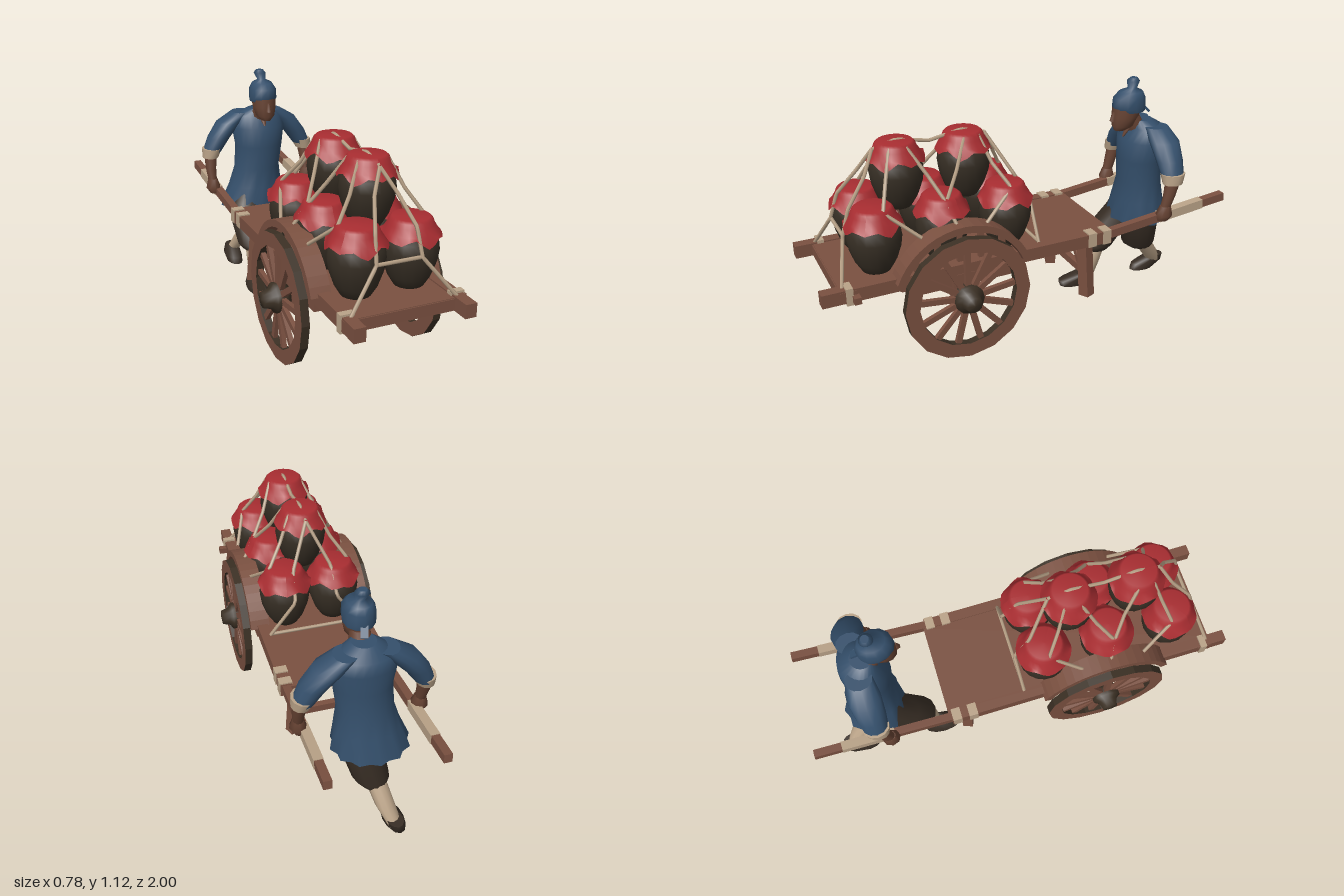
import * as THREE from 'three';

const mat = (name, color, side = THREE.FrontSide) => {
  const m = new THREE.MeshStandardMaterial({ color, side });
  m.name = name;
  return m;
};

export function createModel() {
  const wood = mat('wood', 0x7a5040), dark = mat('dark wood', 0x3b3024);
  const clay = mat('dark clay', 0x362e24), red = mat('red cloth', 0xa82d31, THREE.DoubleSide);
  const blue = mat('blue cloth', 0x344f6b, THREE.DoubleSide), cream = mat('cream rope', 0xbaa388);
  const skin = mat('skin', 0x674333), trouser = mat('dark trousers', 0x382e25);
  const V = (p) => new THREE.Vector3(...p);
  const model = new THREE.Group();
  const add = (name, geo, m, parent = model) => {
    const mesh = new THREE.Mesh(geo, m);
    mesh.name = name;
    parent.add(mesh);
    return mesh;
  };
  const group = (name) => {
    const g = new THREE.Group();
    g.name = name;
    model.add(g);
    return g;
  };
  const box = (name, w, h, d, x, y, z, m, parent) => {
    const b = add(name, new THREE.BoxGeometry(w, h, d), m, parent);
    b.position.set(x, y, z);
    return b;
  };
  // Square bar running from p to q
  const bar = (name, p, q, w, h, m, parent) => {
    const b = add(name, new THREE.BoxGeometry(w, h, V(p).distanceTo(V(q))), m, parent);
    b.position.copy(V(p).add(V(q)).multiplyScalar(0.5));
    b.lookAt(V(q));
    return b;
  };
  // Stack of level ellipses, bottom to top: [x, y, z, radiusX, radiusZ]
  const loft = (name, rings, m, parent, n = 12, pleat = 0) => {
    const pos = [], idx = [];
    rings.forEach(([x, y, z, rx, rz], i) => {
      for (let j = 0; j < n; j++) {
        const a = (j / n) * Math.PI * 2, k = i === 0 && j % 2 ? 1 - pleat : 1;
        pos.push(x + Math.cos(a) * rx * k, y, z + Math.sin(a) * rz * k);
      }
    });
    const last = rings.length - 1;
    for (let i = 0; i < last; i++) for (let j = 0; j < n; j++) {
      const a = i * n + j, b = i * n + (j + 1) % n;
      idx.push(a, a + n, b, b, a + n, b + n);
    }
    // End caps have their own vertices so the rims stay sharp
    [0, last].forEach((r) => {
      const base = pos.length / 3;
      pos.push(...rings[r].slice(0, 3));
      for (let j = 0; j < n; j++) pos.push(...pos.slice((r * n + j) * 3, (r * n + j) * 3 + 3));
      for (let j = 0; j < n; j++) {
        const a = base + 1 + j, b = base + 1 + (j + 1) % n;
        idx.push(base, ...(r ? [b, a] : [a, b]));
      }
    });
    const g = new THREE.BufferGeometry();
    g.setAttribute('position', new THREE.Float32BufferAttribute(pos, 3));
    g.setIndex(idx);
    g.computeVertexNormals();
    return add(name, g, m, parent);
  };

  // Cart bed, rails and handles
  const cart = group('cart');
  box('bed', 0.44, 0.025, 1.29, 0, 0.472, 0.275, wood, cart);
  box('bedUnderside', 0.43, 0.006, 0.8, 0, 0.457, 0.04, dark, cart);
  box('frontCrossbar', 0.53, 0.05, 0.07, 0, 0.457, 0.89, wood, cart);
  box('rearCrossbar', 0.44, 0.04, 0.05, 0, 0.445, -0.33, wood, cart);
  box('peg', 0.05, 0.03, 0.03, 0.275, 0.45, 0.86, wood, cart);
  box('axle', 0.56, 0.058, 0.06, 0, 0.365, 0.385, dark, cart);
  box('axleBeam', 0.5, 0.016, 0.08, 0, 0.335, 0.385, wood, cart);
  bar('legStretcher', [-0.17, 0.248, -0.28], [0.17, 0.248, -0.28], 0.03, 0.035, wood, cart);
  for (const s of [-1, 1]) {
    box('rail', 0.05, 0.06, 1.36, s * 0.238, 0.46, 0.32, wood, cart);
    bar('handle', [s * 0.238, 0.463, -0.33], [s * 0.243, 0.537, -1], 0.036, 0.04, wood, cart);
    bar('handleWrap', [s * 0.2405, 0.496, -0.63], [s * 0.242, 0.523, -0.875], 0.041, 0.045, cream, cart);
    for (const z of [-0.258, -0.335]) box('railWrap', 0.058, 0.068, 0.042, s * 0.238, 0.462, z, cream, cart);
    box('frontLashing', 0.062, 0.078, 0.03, s * 0.24, 0.46, 0.885, cream, cart);
    box('axleBlock', 0.05, 0.12, 0.1, s * 0.24, 0.385, 0.385, wood, cart);
    box('sill', 0.045, 0.05, 0.5, s * 0.235, 0.41, 0.385, wood, cart);
    bar('supportLeg', [s * 0.165, 0.455, -0.27], [s * 0.19, 0.13, -0.28], 0.05, 0.055, wood, cart);
    bar('legBrace', [0, 0.43, -0.28], [s * 0.13, 0.26, -0.28], 0.025, 0.025, wood, cart);
  }

  // Arched guards over the wheels, on short posts
  const arch = new THREE.Shape();
  arch.absarc(0, 0, 0.327, 0.37, Math.PI - 0.37, false);
  arch.absarc(0, 0, 0.295, Math.PI - 0.37, 0.37, true);
  const archGeo = new THREE.ExtrudeGeometry(arch, { depth: 0.09, bevelEnabled: false, curveSegments: 9 });
  for (const s of [-1, 1]) {
    const guard = add('wheelGuard', archGeo, wood, cart);
    guard.rotation.y = Math.PI / 2;
    guard.position.set(s * 0.25 - 0.045, 0.355, 0.385);
    for (let i = -2; i <= 2; i++) {
      const dz = i * 0.1, top = 0.355 + Math.sqrt(0.305 ** 2 - dz * dz);
      box('guardPost', 0.02, top - 0.47, 0.025, s * 0.225, (top + 0.47) / 2, 0.385 + dz, wood, cart);
    }
  }

  // Spoked wheels
  const rim = new THREE.Shape().absarc(0, 0, 0.29, 0, Math.PI * 2, false);
  rim.holes.push(new THREE.Path().absarc(0, 0, 0.225, 0, Math.PI * 2, true));
  const rimGeo = new THREE.ExtrudeGeometry(rim, { depth: 0.036, bevelEnabled: false, curveSegments: 8 });
  rimGeo.translate(0, 0, -0.018);
  const hub = [[0, -0.04], [0.05, -0.04], [0.067, -0.015], [0.067, 0.025], [0.045, 0.04], [0.035, 0.075], [0, 0.08]];
  const hubGeo = new THREE.LatheGeometry(hub.map((p) => new THREE.Vector2(...p)), 12);
  for (const s of [-1, 1]) {
    const wheel = group('wheel');
    add('rim', rimGeo, [wood, dark], wheel);
    add('hub', hubGeo, dark, wheel).rotation.x = Math.PI / 2;
    for (let i = 0; i < 13; i++) {
      const a = (i / 13) * Math.PI * 2 + Math.PI / 2;
      const spoke = box('spoke', 0.19, 0.026, 0.02, Math.cos(a) * 0.145, Math.sin(a) * 0.145, 0, wood, wheel);
      spoke.rotation.z = a;
    }
    wheel.rotation.y = s * Math.PI / 2;
    wheel.position.set(s * 0.31, 0.35, 0.385);
  }

  // Jars with cloth covers
  const lathe = (pts, n) => new THREE.LatheGeometry(pts.map((p) => new THREE.Vector2(...p)), n);
  const jarGeo = lathe([[0, 0], [0.06, 0], [0.09, 0.05], [0.111, 0.11], [0.118, 0.16], [0.112, 0.205], [0.08, 0.26], [0, 0.27]], 18);
  const coverGeo = lathe([[0.126, 0.212], [0.111, 0.24], [0.094, 0.267], [0.087, 0.286], [0.076, 0.296], [0, 0.298]], 28);
  const cp = coverGeo.attributes.position;
  for (let i = 0; i < cp.count; i++) {
    // Ragged hem
    if (cp.getY(i) < 0.22) {
      const a = Math.atan2(cp.getZ(i), cp.getX(i));
      cp.setY(i, 0.215 + 0.013 * Math.sin(a * 7) + 0.01 * Math.cos(a * 4));
    }
  }
  coverGeo.computeVertexNormals();
  const load = group('jars');
  const jar = (x, y, z, turn) => {
    for (const [name, geo, m] of [['jar', jarGeo, clay], ['jarCover', coverGeo, red]]) {
      const j = add(name, geo, m, load);
      j.position.set(x, y, z);
      j.rotation.y = turn;
    }
  };
  [0.725, 0.42, 0.12].forEach((z, i) => [-1, 1].forEach((s) => jar(s * 0.119, 0.48, z, i + s)));
  [0.575, 0.265].forEach((z, i) => jar(0, 0.705, z, i * 2));

  // Ropes over the load
  const ropes = group('ropes');
  const rope = (...pts) => {
    const path = new THREE.CurvePath();
    for (let i = 1; i < pts.length; i++) path.add(new THREE.LineCurve3(V(pts[i - 1]), V(pts[i])));
    add('rope', new THREE.TubeGeometry(path, pts.length * 6, 0.0085, 5), cream, ropes);
  };
  rope([-0.1, 0.65, 0.85], [0.1, 0.65, 0.85]);
  rope([-0.22, 0.495, 0.0], [0.22, 0.495, 0.0]);
  rope([0, 0.975, 0.675], [0, 1.003, 0.57], [0, 0.975, 0.42], [0, 1.003, 0.27], [0, 0.975, 0.165]);
  for (const s of [-1, 1]) {
    rope([0, 0.975, 0.675], [s * 0.05, 0.88, 0.73], [s * 0.09, 0.765, 0.82], [s * 0.1, 0.65, 0.855], [s * 0.235, 0.48, 0.91]);
    rope([0, 0.975, 0.165], [s * 0.09, 0.785, 0.06], [s * 0.1, 0.66, -0.012], [s * 0.22, 0.49, 0]);
    rope([s * 0.065, 0.99, 0.62], [s * 0.12, 0.87, 0.66], [s * 0.19, 0.765, 0.7], [s * 0.25, 0.65, 0.56]);
    rope([s * 0.075, 0.99, 0.55], [s * 0.13, 0.87, 0.48], [s * 0.19, 0.77, 0.43], [s * 0.25, 0.67, 0.4]);
    rope([s * 0.075, 0.99, 0.29], [s * 0.13, 0.87, 0.35], [s * 0.19, 0.77, 0.42]);
    rope([s * 0.065, 0.99, 0.22], [s * 0.12, 0.87, 0.18], [s * 0.19, 0.77, 0.12], [s * 0.25, 0.65, 0.27]);
  }

  // Man pushing the cart: head and body
  const man = group('man');
  loft('head', [[0, 0.872, -0.545, 0.022, 0.03], [0, 0.895, -0.56, 0.046, 0.056], [0, 0.94, -0.57, 0.058, 0.068], [0, 1.0, -0.58, 0.06, 0.074]], skin, man);
  loft('neck', [[0, 0.86, -0.64, 0.05, 0.05], [0, 0.94, -0.6, 0.042, 0.045]], skin, man);
  loft('nose', [[0, 0.922, -0.502, 0.013, 0.016], [0, 0.965, -0.508, 0.007, 0.008]], skin, man, 6);
  loft('openCollar', [[0, 0.835, -0.566, 0.004, 0.006], [0, 0.905, -0.605, 0.032, 0.014]], skin, man, 8);
  loft('cap', [[0, 0.965, -0.595, 0.065, 0.074], [0, 0.985, -0.588, 0.068, 0.084], [0, 1.03, -0.588, 0.066, 0.08], [0, 1.058, -0.595, 0.05, 0.06], [0, 1.072, -0.602, 0.021, 0.022], [-0.006, 1.105, -0.61, 0.031, 0.031], [-0.006, 1.12, -0.612, 0.018, 0.018]], blue, man);
  bar('capTie', [0, 0.985, -0.66], [0.01, 0.95, -0.695], 0.03, 0.012, blue, man);
  loft('tunic', [[-0.035, 0.39, -0.69, 0.175, 0.148], [-0.02, 0.5, -0.68, 0.142, 0.122], [-0.01, 0.6, -0.675, 0.12, 0.105], [0, 0.72, -0.665, 0.125, 0.108], [0, 0.82, -0.67, 0.14, 0.108], [0, 0.88, -0.685, 0.12, 0.085], [0, 0.915, -0.66, 0.052, 0.052]], blue, man, 24, 0.1);

  // Arms
  for (const s of [-1, 1]) {
    loft('sleeve', [[s * 0.252, 0.695, -0.69, 0.046, 0.055], [s * 0.21, 0.77, -0.692, 0.058, 0.066], [s * 0.15, 0.845, -0.697, 0.066, 0.074], [s * 0.085, 0.895, -0.695, 0.05, 0.06]], blue, man);
    loft('cuff', [[s * 0.262, 0.668, -0.685, 0.04, 0.05], [s * 0.25, 0.715, -0.69, 0.052, 0.061]], cream, man);
    loft('forearm', [[s * 0.264, 0.55, -0.652, 0.022, 0.025], [s * 0.266, 0.61, -0.668, 0.027, 0.03], [s * 0.262, 0.68, -0.685, 0.032, 0.037]], skin, man);
    loft('hand', [[s * 0.258, 0.485, -0.645, 0.024, 0.03], [s * 0.263, 0.515, -0.648, 0.038, 0.042], [s * 0.264, 0.56, -0.652, 0.024, 0.028]], skin, man, 8);
  }

  // Striding legs, one forward and one trailing
  loft('frontTrouser', [[-0.1, 0.2, -0.5, 0.055, 0.06], [-0.1, 0.235, -0.505, 0.083, 0.085], [-0.1, 0.34, -0.585, 0.09, 0.092], [-0.085, 0.42, -0.65, 0.09, 0.092], [-0.07, 0.49, -0.67, 0.08, 0.09]], trouser, man);
  loft('frontStocking', [[-0.11, 0.04, -0.45, 0.034, 0.04], [-0.1, 0.13, -0.465, 0.048, 0.05], [-0.1, 0.22, -0.5, 0.045, 0.048]], cream, man);
  loft('frontShoe', [[-0.125, 0.004, -0.405, 0.045, 0.095], [-0.125, 0.035, -0.4, 0.05, 0.102], [-0.115, 0.066, -0.445, 0.037, 0.055]], trouser, man);
  loft('rearTrouser', [[-0.045, 0.19, -0.735, 0.055, 0.06], [-0.035, 0.225, -0.715, 0.082, 0.085], [0, 0.36, -0.69, 0.09, 0.096], [0.01, 0.48, -0.67, 0.095, 0.1]], trouser, man);
  loft('rearStocking', [[-0.1, 0.05, -0.865, 0.032, 0.036], [-0.07, 0.13, -0.81, 0.042, 0.046], [-0.045, 0.22, -0.745, 0.045, 0.048]], cream, man);
  loft('rearShoe', [[-0.11, 0.008, -0.8, 0.04, 0.07], [-0.11, 0.04, -0.83, 0.045, 0.09], [-0.1, 0.08, -0.872, 0.036, 0.046]], trouser, man);
  return model;
}
